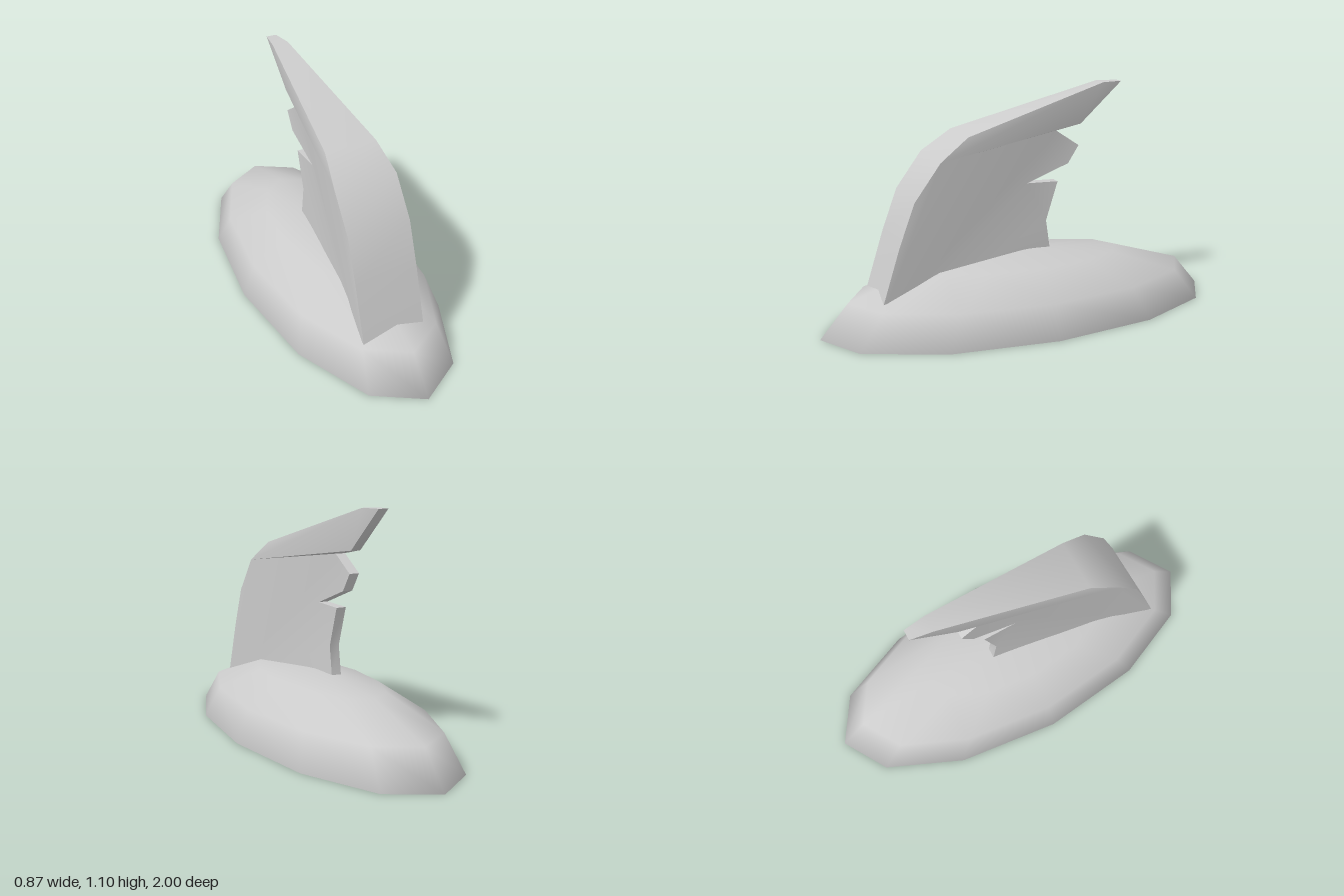
import * as THREE from 'three';
import { toCreasedNormals } from 'three/addons/utils/BufferGeometryUtils.js';

const material = new THREE.MeshStandardMaterial({ color: 0xcccccc });

// Fin outline as [z, y, half width]: broad leading edge, thin ragged trailing edge
const EDGE = 0.025;
const finOutline = [
  [0.77, 0.05, 0.152], [0.73, 0.18, 0.152], [0.65, 0.43, 0.152], [0.575, 0.63, 0.152],
  [0.45, 0.8, 0.152], [0.31, 0.9, 0.125], [-0.41, 1.1, 0.04], [-0.515, 1.1, EDGE],
  [-0.3, 0.905, EDGE], [-0.17, 0.88, EDGE], [-0.29, 0.8, EDGE], [-0.235, 0.715, EDGE],
  [-0.02, 0.635, EDGE], [-0.18, 0.63, EDGE], [-0.12, 0.44, EDGE], [-0.14, 0.3, EDGE],
  [-0.175, 0.05, EDGE],
];

function halfWidthAt(z, y) {
  const distance = (p) => Math.hypot(p[0] - z, p[1] - y);
  return finOutline.reduce((a, b) => (distance(b) < distance(a) ? b : a))[2];
}

function addMesh(parent, name, geometry) {
  const mesh = new THREE.Mesh(geometry, material);
  mesh.name = name;
  parent.add(mesh);
}

export function createModel() {
  const model = new THREE.Group();
  model.name = 'finnedMound';

  // Low elongated dome with a closed underside
  const dome = new THREE.SphereGeometry(1, 12, 3, 0, Math.PI * 2, 0, Math.PI / 2);
  addMesh(model, 'dome', dome.scale(0.435, 0.315, 1));
  const underside = new THREE.CircleGeometry(1, 12).rotateX(Math.PI / 2);
  addMesh(model, 'underside', underside.scale(0.435, 1, 1));

  // Swept fin: extruded outline, thinned towards its trailing edge
  const shape = new THREE.Shape(finOutline.map(([z, y]) => new THREE.Vector2(z, y)));
  const fin = new THREE.ExtrudeGeometry(shape, { depth: 2, bevelEnabled: false });
  fin.translate(0, 0, -1).rotateY(-Math.PI / 2);
  const pos = fin.attributes.position;
  for (let i = 0; i < pos.count; i++) {
    pos.setX(i, -0.022 + pos.getX(i) * halfWidthAt(pos.getZ(i), pos.getY(i)));
  }
  fin.deleteAttribute('normal');
  fin.deleteAttribute('uv');
  addMesh(model, 'fin', toCreasedNormals(fin, 0.6));

  return model;
}
